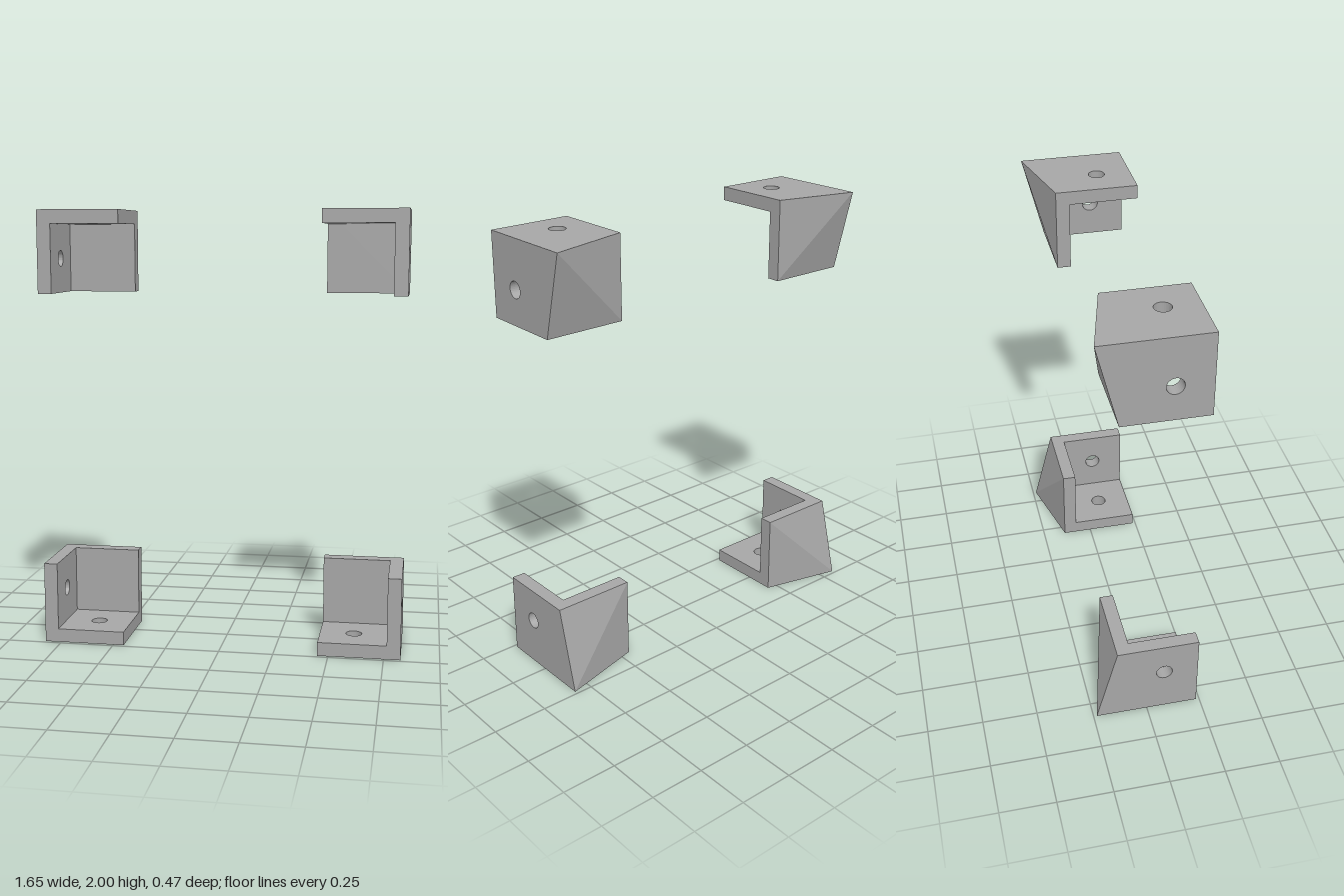
import * as THREE from 'three';

const SIZE = 0.375, H = SIZE / 2, T = 0.0625;            // bracket edge and wall thickness
const FRONT = 0.235, BACK = FRONT - SIZE, INNER = BACK + T, TIP = -0.235;
const HOLE_R = 0.037, HOLE_Z = (FRONT + INNER) / 2;

// Rectangular plate with one round screw hole, extruded by the wall thickness
function drilledPlate(x0, y0, x1, y1, hx, hy) {
  const shape = new THREE.Shape();
  shape.moveTo(x0, y0).lineTo(x1, y0).lineTo(x1, y1).lineTo(x0, y1).closePath();
  const hole = new THREE.Path();
  hole.absarc(hx, hy, HOLE_R, 0, Math.PI * 2, true);
  shape.holes.push(hole);
  return new THREE.ExtrudeGeometry(shape, { depth: T, bevelEnabled: false, curveSegments: 16 });
}

// Back wall: a slab whose outer rear corner is drawn out to a point
function backWall() {
  const box = new THREE.BoxGeometry(SIZE, SIZE, T).translate(0, 0, BACK + T / 2);
  const p = box.attributes.position;
  for (let i = 0; i < p.count; i++) {
    if (p.getX(i) > 0 && p.getY(i) < 0 && p.getZ(i) < BACK + T / 2) p.setZ(i, TIP);
  }
  const geo = box.toNonIndexed();
  geo.computeVertexNormals();
  return geo;
}

export function createModel() {
  const model = new THREE.Group();
  model.name = 'cornerBrackets';
  const grey = new THREE.MeshStandardMaterial({ color: 0xa6a6a6 });
  grey.name = 'grey';

  const floorGeo = drilledPlate(-H, -FRONT, H, -INNER, -T / 2, -HOLE_Z)
    .rotateX(-Math.PI / 2).translate(0, -H, 0);
  const sideGeo = drilledPlate(-FRONT, -H + T, -INNER, H, -HOLE_Z, T / 2)
    .rotateY(Math.PI / 2).translate(H - T, 0, 0);

  // The flank continues the floor and side plates back to the drawn-out corner
  const parts = { floorPlate: floorGeo, sidePlate: sideGeo, backWall: backWall() };

  // Four identical brackets, each a quarter turn from the last
  const places = [
    ['lowerLeftBracket', 1, 0], ['upperLeftBracket', 1, 1],
    ['upperRightBracket', -1, 1], ['lowerRightBracket', -1, 0],
  ];
  places.forEach(([name, side, top], k) => {
    const bracket = new THREE.Group();
    bracket.name = name;
    for (const [part, geo] of Object.entries(parts)) {
      const mesh = new THREE.Mesh(geo, grey);
      mesh.name = part;
      bracket.add(mesh);
    }
    bracket.position.set(side * 0.6385, top ? 2 - H : H, 0);
    bracket.rotation.z = k * Math.PI / 2;
    model.add(bracket);
  });
  return model;
}
